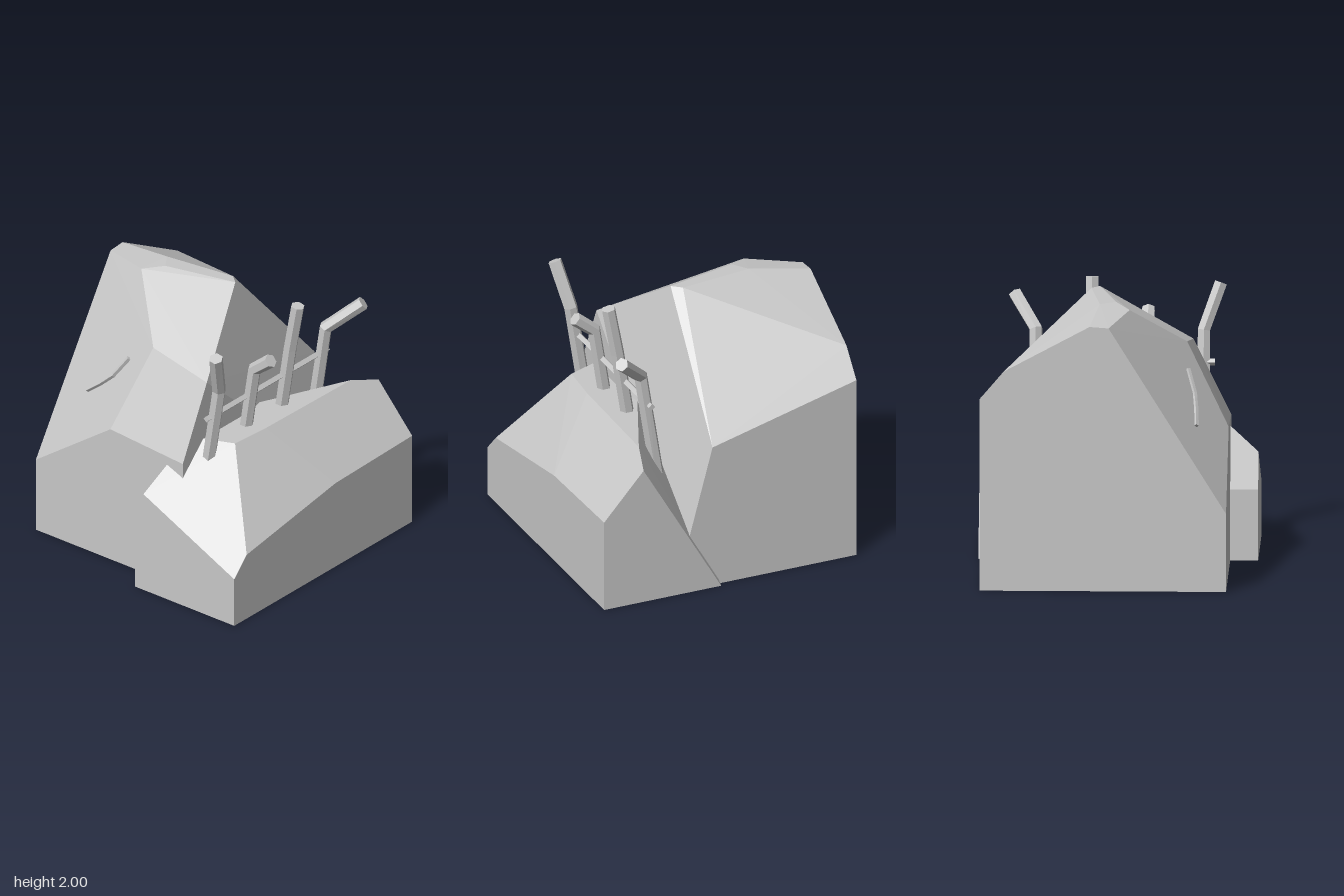
import * as THREE from 'three';
import { ConvexGeometry } from 'three/addons/geometries/ConvexGeometry.js';

const stone = new THREE.MeshStandardMaterial({ color: 0xc8c8c8 });
stone.name = 'pale grey';

const vec = (p) => new THREE.Vector3(...p);

function addMesh(parent, name, geometry) {
  const mesh = new THREE.Mesh(geometry, stone);
  mesh.name = name;
  parent.add(mesh);
  return mesh;
}

// Faceted boulder from its corner points
const boulder = (corners) => new ConvexGeometry(corners.map(vec));

// Faceted bar following a bent path, with mitred joints
function bar(path, radius, sides, thetaStart = 0) {
  const pts = path.map(vec);
  const n = pts.length - 1;
  const up = new THREE.Vector3(0, 1, 0);
  const turns = pts.map((p, i) => {
    const dir = new THREE.Vector3();
    if (i > 0) dir.add(p.clone().sub(pts[i - 1]).normalize());
    if (i < n) dir.add(pts[i + 1].clone().sub(p).normalize());
    return new THREE.Quaternion().setFromUnitVectors(up, dir.normalize());
  });
  const geo = new THREE.CylinderGeometry(radius, radius, n, sides, n, false, thetaStart).toNonIndexed();
  const pos = geo.attributes.position;
  const v = new THREE.Vector3();
  for (let i = 0; i < pos.count; i++) {
    v.fromBufferAttribute(pos, i);
    const ring = Math.round(v.y + n / 2);
    v.setY(0).applyQuaternion(turns[ring]).add(pts[ring]);
    pos.setXYZ(i, v.x, v.y, v.z);
  }
  geo.computeVertexNormals();
  return geo;
}

export function createModel() {
  const model = new THREE.Group();
  model.name = 'rocks with fence';

  // Tall rock
  addMesh(model, 'tallRock', boulder([
    [-1, 0, 0.8], [0.36, 0, 0.8], [0.36, 1.01, 0.8], [-0.31, 1.06, 0.8], [-1, 0.57, 0.8],
    [-1, 0, -0.96], [0.36, 0, -0.96], [0.36, 0.24, -0.96], [0.13, 1.1, -0.96], [-1, 1.4, -0.96],
    [-1, 1.6, -0.79], [-1, 1.93, -0.175], [-1, 1.92, -0.04],
    [-0.6, 1.97, 0.1], [-0.16, 1.65, 0.5], [0.36, 1.56, 0.53],
    [-0.46, 2, 0], [-0.54, 2, -0.115], [0.01, 2, -0.19], [0.08, 2, -0.13],
  ]));

  // Low rock
  addMesh(model, 'lowRock', boulder([
    [0.08, 0, 1], [1, 0, 1], [1, 0.38, 1], [0.16, 0.78, 1], [0.08, 0.52, 1],
    [0.08, 0, -1], [1, 0, -1], [1, 0.7, -1], [0.69, 1.05, -1],
    [1, 0.52, 0.86], [1, 0.68, -0.14], [0.08, 0.52, -0.32],
    [0.58, 1.12, 0.48], [0.605, 1.12, 0.16], [0.622, 1.12, -0.77],
    [0.265, 1.12, 0.61], [0.265, 1.12, 0.04],
  ]));

  // Leaning posts: z position and tip
  const fence = new THREE.Group();
  fence.name = 'fence';
  model.add(fence);
  [
    [0.6, [0.6, 1.92, 0.72]],
    [0.2, [0.68, 1.71, 0.2]],
    [-0.2, [0.6, 1.96, -0.2]],
    [-0.6, [0.75, 1.8, -0.755]],
  ].forEach(([z, tip], i) => {
    addMesh(fence, `post${i + 1}`,
      bar([[0.405, 0.8, z], [0.53, 1.59, z], tip], 0.051, 6, Math.PI / 2));
  });

  // Rail through the posts
  addMesh(fence, 'rail', bar([[0.478, 1.365, -0.68], [0.478, 1.365, 0.68]], 0.025, 4));

  // Thin curved ridge on the sloping front of the tall rock
  const onSlope = ([x, y]) => [x, y, -0.03 + 0.443 * (x + 1) - 0.622 * (y - 1.92)];
  addMesh(model, 'ridge',
    bar([[-0.705, 1.15], [-0.59, 1.24], [-0.48, 1.34], [-0.375, 1.495]].map(onSlope), 0.018, 4));

  return model;
}
